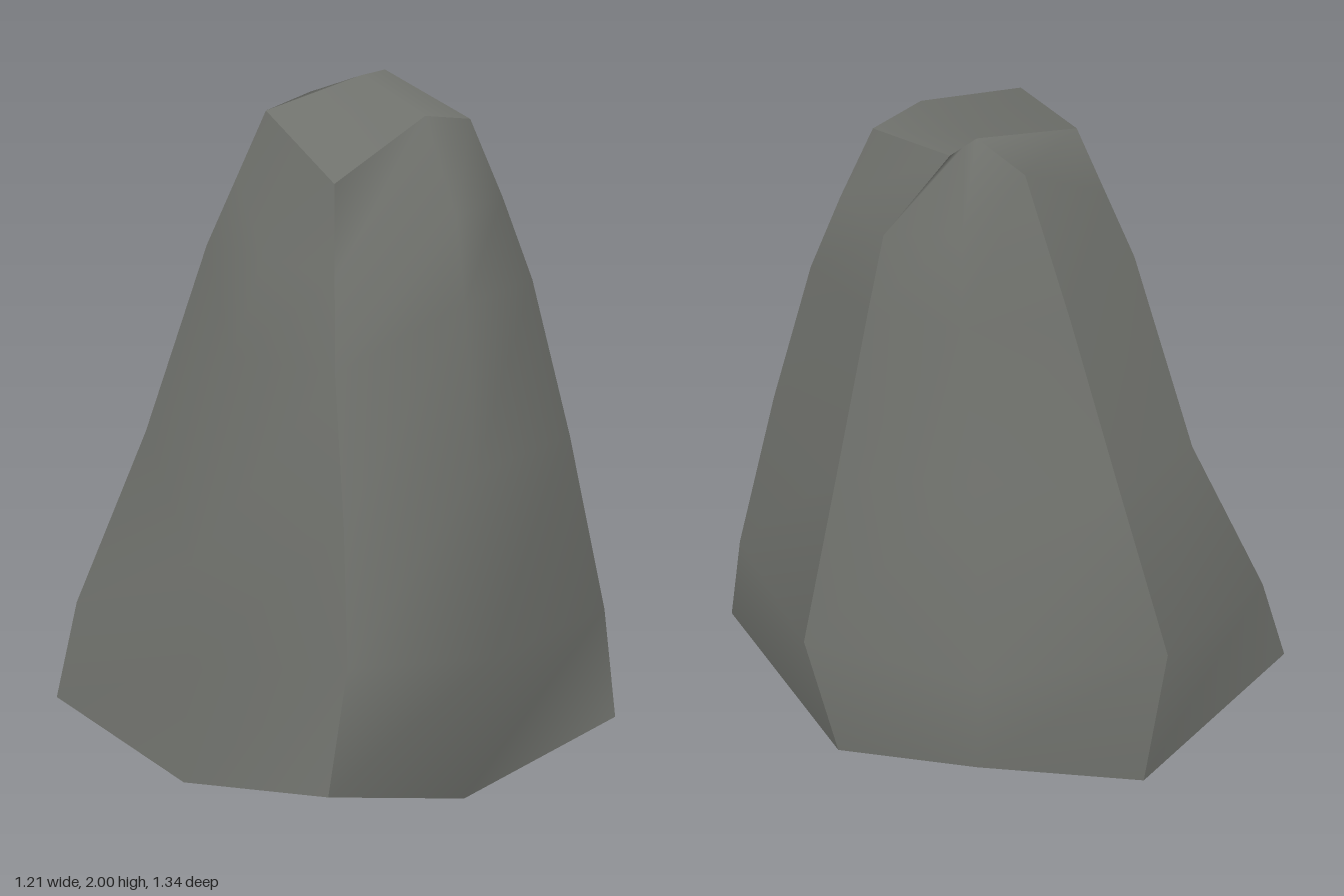
import * as THREE from 'three';

// Eight ridge lines up the boulder, each from the base rim to the crown
const ridges = {
  front: [[-.11, .12, .57], [-.10, .55, .67], [-.06, 1.05, .56], [0, 1.5, .455], [.03, 1.73, .39], [.09, 1.96, .20]],
  frontLeft: [[.475, .21, .55], [.50, .5, .48], [.44, 1.0, .405], [.37, 1.45, .33], [.31, 1.69, .275], [.24, 1.92, .22]],
  left: [[.54, .10, -.02], [.605, .45, .05], [.51, .97, .03], [.415, 1.5, .01], [.37, 1.74, 0], [.21, 1.99, -.09]],
  backLeft: [[.38, .21, -.44], [.38, .5, -.45], [.29, 1.05, -.31], [.26, 1.5, -.21], [.22, 1.78, -.16], [.16, 1.995, -.085]],
  back: [[-.04, .10, -.64], [-.10, .51, -.67], [-.05, 1.0, -.515], [0, 1.5, -.36], [.05, 1.93, -.22], [.11, 2, -.08]],
  backRight: [[-.59, .24, -.55], [-.52, .5, -.545], [-.35, .98, -.45], [-.28, 1.55, -.28], [-.23, 1.75, -.215], [-.18, 1.95, -.15]],
  right: [[-.60, .13, -.03], [-.575, .45, -.04], [-.55, .75, -.05], [-.43, 1.33, -.02], [-.33, 1.6, 0], [-.22, 1.9, .03]],
  frontRight: [[-.605, .24, .555], [-.50, .58, .52], [-.43, .95, .43], [-.36, 1.35, .32], [-.31, 1.6, .265], [-.26, 1.85, .21]],
};

function buildSurface(points, index) {
  const geometry = new THREE.BufferGeometry();
  geometry.setAttribute('position', new THREE.Float32BufferAttribute(points.flat(), 3));
  geometry.setIndex(index);
  geometry.computeVertexNormals();
  return geometry;
}

// Smooth sheet stretched across neighbouring ridges
function sheet(names) {
  const rows = ridges.front.length;
  const index = [];
  for (let i = 0; i < names.length - 1; i++) {
    for (let j = 0; j < rows - 1; j++) {
      const a = i * rows + j, b = a + rows;
      index.push(a, b, b + 1, a, b + 1, a + 1);
    }
  }
  return buildSurface(names.flatMap((n) => ridges[n]), index);
}

// Fan of triangles from one centre point to a line of points
function fan(centre, rim) {
  const index = [];
  for (let i = 1; i < rim.length; i++) index.push(0, i, i + 1);
  return buildSurface([centre, ...rim], index);
}

export function createModel() {
  const model = new THREE.Group();
  model.name = 'boulder';
  const stone = new THREE.MeshStandardMaterial({ color: 0x70726d });
  stone.name = 'grey stone';

  const add = (name, geometry) => {
    const mesh = new THREE.Mesh(geometry, stone);
    mesh.name = name;
    model.add(mesh);
  };

  // Side faces, meeting at hard ridges
  add('frontFace', sheet(['frontRight', 'front', 'frontLeft']));
  add('leftFace', sheet(['frontLeft', 'left']));
  add('backLeftFace', sheet(['left', 'backLeft', 'back']));
  add('backFace', sheet(['back', 'backRight']));
  add('rightFace', sheet(['backRight', 'right', 'frontRight']));

  // Sloping crown
  const top = (n) => ridges[n][5];
  add('crown', fan(top('back'),
    ['backRight', 'right', 'frontRight', 'front', 'frontLeft', 'left'].map(top)));

  // Shallow pointed underside, with one separate facet at the back left
  const base = (n) => ridges[n][0];
  const tip = [-.04, 0, -.05];
  add('underside', fan(tip,
    ['left', 'frontLeft', 'front', 'frontRight', 'right', 'backRight', 'back'].map(base)));
  add('undersideFacet', fan(tip, ['back', 'backLeft', 'left'].map(base)));

  return model;
}
